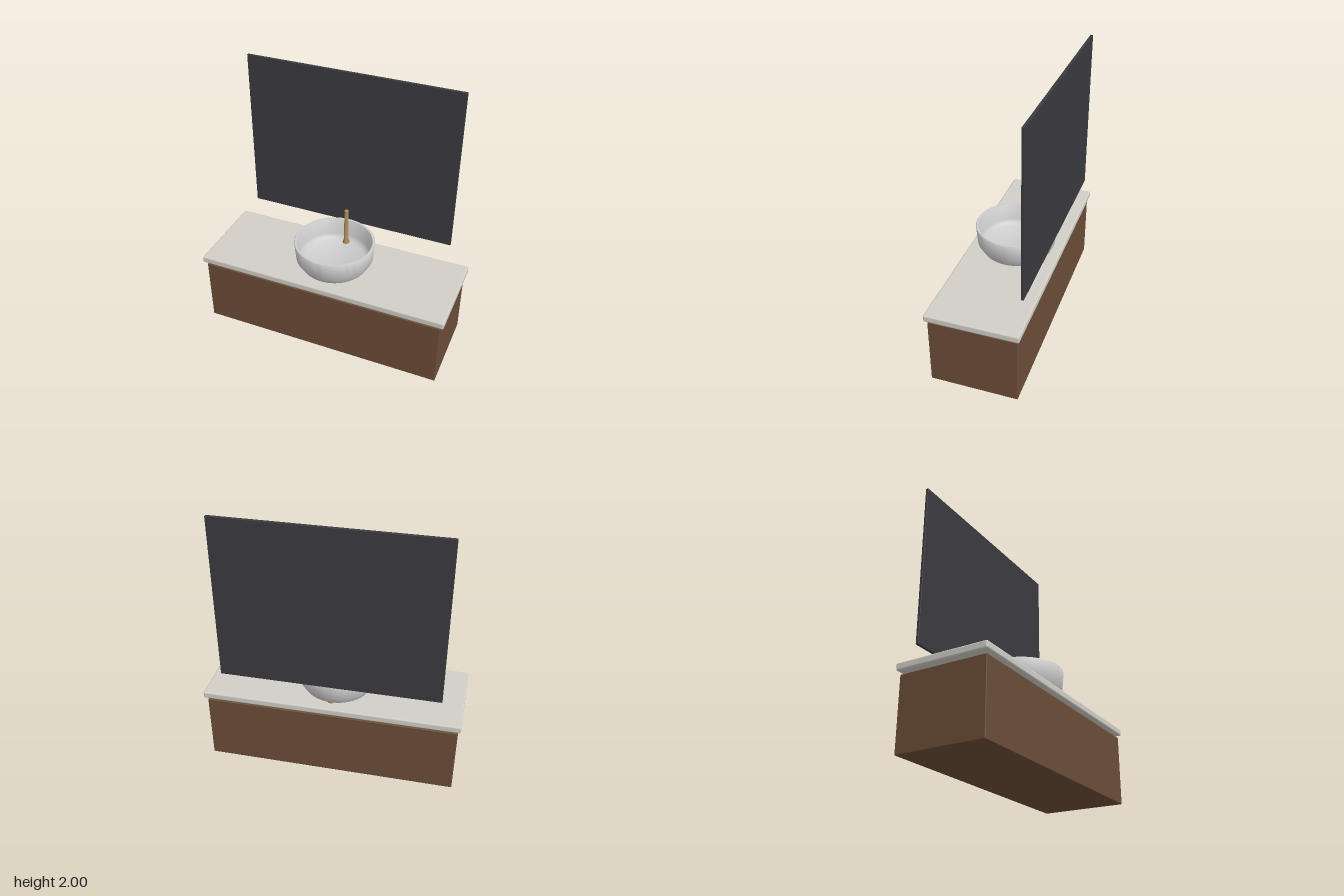
import * as THREE from 'three';
import { RoundedBoxGeometry } from 'three/addons/geometries/RoundedBoxGeometry.js';
import { toCreasedNormals } from 'three/addons/utils/BufferGeometryUtils.js';

const material = (color) => new THREE.MeshStandardMaterial({ color });

// Box with softened edges, given by its size, its bottom height and its depth position
function slab(name, [w, h, d], bottom, z, radius, color) {
  const mesh = new THREE.Mesh(new RoundedBoxGeometry(w, h, d, 2, radius), material(color));
  mesh.name = name;
  mesh.position.set(0, bottom + h / 2, z);
  return mesh;
}

// Solid of revolution from [radius, height] pairs
function turned(name, profile, segments, crease, color) {
  const points = profile.map(([r, y]) => new THREE.Vector2(r, y));
  const geometry = toCreasedNormals(new THREE.LatheGeometry(points, segments), crease);
  const mesh = new THREE.Mesh(geometry, material(color));
  mesh.name = name;
  return mesh;
}

export function createModel() {
  const vanity = new THREE.Group();
  vanity.name = 'bathroomVanity';

  // Cabinet, with a shadow gap below the countertop
  vanity.add(slab('cabinet', [1.85, 0.515, 0.64], 0, 0, 0.006, 0x6b4d38));
  vanity.add(slab('countertop', [1.9, 0.053, 0.675], 0.535, 0, 0.012, 0xd0cec6));

  // Wall mirror
  vanity.add(slab('mirror', [1.6, 1.23, 0.021], 0.77, -0.308, 0.004, 0x3b3a3f));

  // Vessel basin: up the outside, over the rim, down the inside
  vanity.add(turned('basin', [
    [0, 0.588], [0.25, 0.588], [0.288, 0.65], [0.3, 0.783], [0.297, 0.787],
    [0.281, 0.787], [0.278, 0.783], [0.268, 0.66], [0.255, 0.632], [0.23, 0.614], [0, 0.61],
  ], 64, 0.75, 0xcccccc));

  // Upright tap with a flared foot
  const tap = turned('tap', [
    [0, 0.588], [0.03, 0.588], [0.03, 0.606], [0.018, 0.65],
    [0.016, 0.908], [0.014, 0.91], [0, 0.91],
  ], 20, 0.6, 0xb08d5c);
  tap.position.z = -0.232;
  vanity.add(tap);

  return vanity;
}
